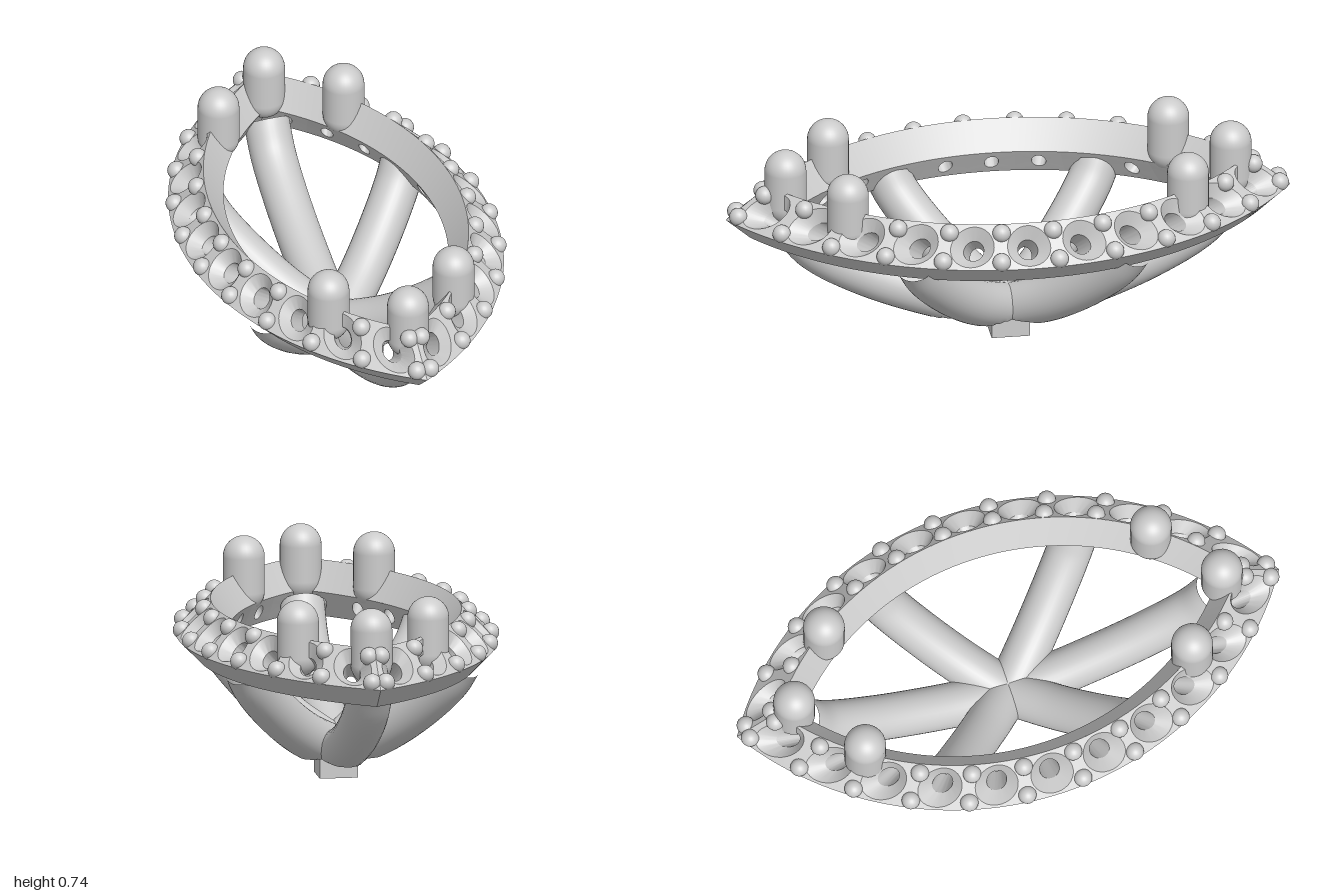
import * as THREE from 'three';
import { toCreasedNormals } from 'three/addons/utils/BufferGeometryUtils.js';

const mat = new THREE.MeshStandardMaterial({ color: 0xcccccc });
const ARC_CENTRE = 0.619; // each side of the pointed oval is an arc about x = -ARC_CENTRE
const SEATS = 11;
const HALF_ARC = 1.09;

// Ring cross-section corners: [half width, height]
const EDGE = [0.553, 0.49], RIM = [0.43, 0.61], WAIST = [0.36, 0.51];
const UNDER = [0.41, 0.415], FOOT = [0.48, 0.415];

// Point on the +x arc: t runs from tip (-1) to tip (1)
function onArc(t, [w, y]) {
  const r = w + ARC_CENTRE;
  const a = t * Math.acos(ARC_CENTRE / r);
  return [r * Math.cos(a) - ARC_CENTRE, y, r * Math.sin(a)];
}

const mix = (a, b, v) => [a[0] + (b[0] - a[0]) * v, a[1] + (b[1] - a[1]) * v];

// Skin between successive rows of points
function loft(rows) {
  const n = rows[0].length, index = [];
  for (let k = 0; k < rows.length - 1; k++) {
    for (let i = 0; i < n - 1; i++) {
      const a = k * n + i, b = a + n;
      index.push(a, b, a + 1, a + 1, b, b + 1);
    }
  }
  const g = new THREE.BufferGeometry();
  g.setAttribute('position', new THREE.Float32BufferAttribute(rows.flat(2), 3));
  g.setIndex(index);
  return toCreasedNormals(g, 0.5);
}

function add(parent, name, geometry, x = 0, y = 0, z = 0) {
  const m = new THREE.Mesh(geometry, mat);
  m.name = name;
  m.position.set(x, y, z);
  parent.add(m);
  return m;
}

// One cell of the ring: sloping face, countersunk seat, drilled hole, undercut face
function seatGeometry(tc) {
  const N = 32, cell = 1 / SEATS;
  const ring = (low, high, radius, depth) => {
    const width = Math.hypot(high[0] - low[0], high[1] - low[1]);
    const row = [];
    for (let i = 0; i <= N; i++) {
      const a = (i / N) * Math.PI * 2, c = Math.cos(a), s = Math.sin(a);
      const m = Math.max(Math.abs(c), Math.abs(s));
      const t = radius ? (c * radius) / HALF_ARC : (c / m) * cell;
      const v = radius ? (s * radius) / width : (s / m) * 0.5;
      const p = mix(low, high, 0.5 + v);
      row.push(onArc(tc + t, [p[0] - depth * 0.7, p[1] - depth * 0.7]));
    }
    return row;
  };
  return loft([
    ring(EDGE, RIM, 0, 0),
    ring(EDGE, RIM, 0.076, 0),
    ring(EDGE, RIM, 0.037, 0.04),
    ring(UNDER, WAIST, 0.03, 0),
    ring(UNDER, WAIST, 0, 0),
  ]);
}

// Plain face swept along the arc between two section corners
function stripGeometry(a, b) {
  const n = SEATS * 8, rows = [[], []];
  for (let i = 0; i <= n; i++) {
    const t = (i / n) * 2 - 1;
    rows[0].push(onArc(t, a));
    rows[1].push(onArc(t, b));
  }
  return loft(rows);
}

function haloSide() {
  const side = new THREE.Group();
  side.name = 'haloSide';
  add(side, 'innerRim', stripGeometry(RIM, WAIST));
  add(side, 'underside', stripGeometry(UNDER, FOOT));
  add(side, 'outerChamfer', stripGeometry(FOOT, EDGE));
  for (let i = 0; i < SEATS; i++) {
    add(side, 'stoneSeat', seatGeometry(((i + 0.5) / SEATS) * 2 - 1));
  }
  // Pairs of beads between the seats
  const bead = new THREE.SphereGeometry(0.032, 20, 14);
  for (let i = 0; i <= SEATS; i++) {
    const t = ((i / SEATS) * 2 - 1) * 0.975;
    for (const v of [0.17, 0.8]) add(side, 'bead', bead, ...onArc(t, mix(EDGE, RIM, v)));
  }
  return side;
}

// Curved round arm rising along +z, flattened where it meets the base
function armGeometry(points) {
  const path = new THREE.CatmullRomCurve3(points.map(([d, y]) => new THREE.Vector3(0, y, d)));
  const g = new THREE.TubeGeometry(path, 40, 0.08, 32);
  const p = g.attributes.position;
  for (let i = 0; i < p.count; i++) p.setY(i, Math.max(p.getY(i), 0.08));
  return toCreasedNormals(g, 0.5);
}

export function createModel() {
  const model = new THREE.Group();
  model.name = 'pointedOvalSetting';

  // Halo ring, two matching sides
  for (const turn of [0, Math.PI]) {
    const side = haloSide();
    side.rotation.y = turn;
    model.add(side);
  }

  // Rounded prongs
  const prong = new THREE.CapsuleGeometry(0.073, 0.124, 12, 32);
  for (const z of [-1, 1]) {
    add(model, 'tipProng', prong, 0, 0.605, z * 0.785);
    for (const x of [-1, 1]) add(model, 'sideProng', prong, x * 0.23, 0.605, z * 0.6);
  }

  // Basket arms
  const longArm = armGeometry([[0, 0.08], [0.25, 0.15], [0.5, 0.25], [0.68, 0.36], [0.76, 0.46]]);
  const diagonalArm = armGeometry([[0, 0.09], [0.2, 0.18], [0.36, 0.285], [0.48, 0.39], [0.53, 0.46]]);
  for (const turn of [0, Math.PI]) {
    add(model, 'longArm', longArm).rotation.y = turn;
    for (const s of [-1, 1]) add(model, 'diagonalArm', diagonalArm).rotation.y = turn + (s * Math.PI) / 4;
  }

  // Base peg
  add(model, 'basePeg', new THREE.BoxGeometry(0.135, 0.1, 0.135), 0, 0.05, 0);
  return model;
}
